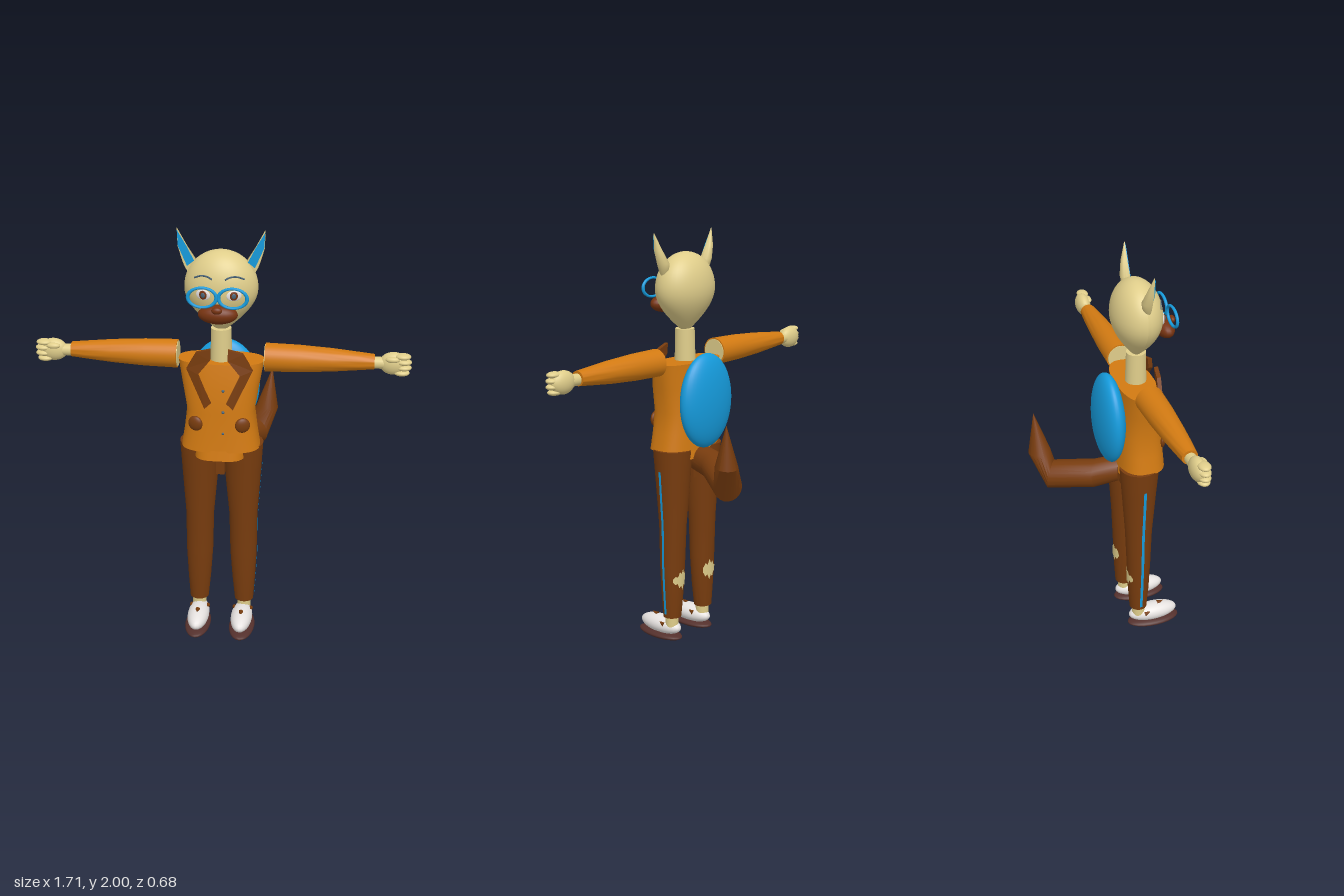
import * as THREE from 'three';
import { toCreasedNormals } from 'three/addons/utils/BufferGeometryUtils.js';

const V = (x, y, z) => new THREE.Vector3(x, y, z);
const mat = (name, color) => {
  const m = new THREE.MeshStandardMaterial({ color });
  m.name = name;
  return m;
};

// Skin a stack of rings (each an array of points), with capped ends
function skin(rings, crease = 0.7) {
  const n = rings[0].length, pos = [], idx = [];
  rings.forEach(r => r.forEach(p => pos.push(p.x, p.y, p.z)));
  for (let i = 0; i < rings.length - 1; i++) {
    for (let j = 0; j < n; j++) {
      const a = i * n + j, b = i * n + (j + 1) % n;
      idx.push(a, a + n, b, b, a + n, b + n);
    }
  }
  [0, rings.length - 1].forEach((k, end) => {
    const c = rings[k].reduce((s, p) => s.add(p), V(0, 0, 0)).divideScalar(n);
    const ci = pos.length / 3;
    pos.push(c.x, c.y, c.z);
    for (let j = 0; j < n; j++) {
      const a = k * n + j, b = k * n + (j + 1) % n;
      if (end) idx.push(ci, b, a); else idx.push(ci, a, b);
    }
  });
  const g = new THREE.BufferGeometry();
  g.setAttribute('position', new THREE.Float32BufferAttribute(pos, 3));
  g.setIndex(idx);
  return toCreasedNormals(g, crease);
}

// Loft from rows [y, cx, cz, rx, rz]; power squares the section, flat trims its front
function loft(rows, { n = 32, power = 1, flat = 1 } = {}) {
  const bend = v => Math.sign(v) * Math.abs(v) ** power;
  return skin(rows.map(([y, cx, cz, rx, rz]) => Array.from({ length: n }, (_, j) => {
    const a = j / n * Math.PI * 2;
    return V(cx + rx * bend(Math.cos(a)), y, cz + rz * Math.min(flat, bend(Math.sin(a))));
  })));
}

const ball = (x, y, z, rx, ry, rz, turn = 0) =>
  new THREE.SphereGeometry(1, 24, 16).scale(rx, ry, rz).rotateY(turn).translate(x, y, z);

// Move every vertex of a geometry by a rule
function warp(g, rule) {
  const p = g.attributes.position;
  for (let i = 0; i < p.count; i++) {
    const v = rule(V(p.getX(i), p.getY(i), p.getZ(i)), i);
    p.setXYZ(i, v.x, v.y, v.z);
  }
  g.computeVertexNormals();
  return g;
}

// Copy mirrored in x, with the corner order put right
function mirror(geo) {
  const g = geo.index ? geo.toNonIndexed() : geo.clone();
  for (const key of ['position', 'normal']) {
    const a = g.attributes[key];
    for (let i = 0; i < a.count; i += 3) {
      const t = [0, 2, 1].map(k => [-a.getX(i + k), a.getY(i + k), a.getZ(i + k)]);
      t.forEach((p, k) => a.setXYZ(i + k, ...p));
    }
  }
  return g;
}

// Leg sections and a lookup between them
const LEG = [
  [0.13, 0.11, 0.127, 0.045, 0.043], [0.25, 0.108, 0.127, 0.055, 0.052],
  [0.4, 0.106, 0.127, 0.064, 0.058], [0.6, 0.104, 0.125, 0.067, 0.066],
  [0.83, 0.101, 0.125, 0.085, 0.083], [0.98, 0.102, 0.125, 0.093, 0.095]];
function legAt(y) {
  const i = Math.max(1, LEG.findIndex(r => r[0] >= y));
  const t = (y - LEG[i - 1][0]) / (LEG[i][0] - LEG[i - 1][0]);
  return LEG[i].map((v, k) => THREE.MathUtils.lerp(LEG[i - 1][k], v, t));
}

// Head shape: an egg, narrower toward the chin
const chin = t => 1 - 0.6 * Math.max(0, t) ** 2;
function headZ(x, y) {
  const t = (y - 1.735) / (y > 1.735 ? 0.17 : 0.205);
  const s = Math.sqrt(1 - t * t) * chin(-t);
  return 0.135 + 0.115 * s * Math.sqrt(Math.max(0, 1 - (x / (0.165 * s)) ** 2));
}

export function createModel() {
  const root = new THREE.Group();
  root.name = 'figure';
  const fur = mat('cream fur', 0xdfcd8a), orange = mat('orange cloth', 0xd27a12),
    brown = mat('brown cloth', 0x783c0e), muzzleBrown = mat('muzzle brown', 0x763310),
    blue = mat('bright blue', 0x159bdc), white = mat('shoe white', 0xe6e2e0),
    dark = mat('sole brown', 0x54302c), slate = mat('slate', 0x4a6478);
  const add = (name, geo, m) => {
    const mesh = new THREE.Mesh(geo, m);
    mesh.name = name;
    root.add(mesh);
  };
  const pair = (name, geo, m) => {
    add(name + 'Left', geo, m);
    add(name + 'Right', mirror(geo), m);
  };

  // Head and neck
  add('head', warp(new THREE.SphereGeometry(1, 40, 30), v => {
    const s = chin(-v.y);
    return V(v.x * s * 0.165, 1.735 + v.y * (v.y > 0 ? 0.17 : 0.205), 0.135 + v.z * s * 0.115);
  }), fur);
  add('neck', new THREE.CylinderGeometry(0.046, 0.05, 0.17, 24).translate(0, 1.46, 0.138), fur);

  // Ears with a flat coloured front
  pair('ear', loft([
    [1.785, 0.132, 0.146, 0.006, 0.006], [1.83, 0.138, 0.14, 0.026, 0.026],
    [1.86, 0.144, 0.139, 0.031, 0.03], [1.92, 0.171, 0.142, 0.021, 0.02],
    [2.0, 0.193, 0.147, 0.001, 0.002]], { n: 20, flat: 0.3 }), fur);
  const inner = new THREE.Shape([[0.193, 1.99], [0.189, 1.92], [0.15, 1.83], [0.119, 1.855], [0.152, 1.92]]
    .map(p => new THREE.Vector2(...p)));
  pair('innerEar', new THREE.ExtrudeGeometry(inner, { depth: 0.005, bevelEnabled: false }).translate(0, 0, 0.147), blue);

  // Eyes, brows and glasses
  const eyeZ = headZ(0.068, 1.73);
  pair('eyeWhite', ball(0.068, 1.73, eyeZ, 0.034, 0.024, 0.006, 0.3), white);
  pair('iris', ball(0.068, 1.73, eyeZ + 0.005, 0.018, 0.02, 0.004, 0.3), muzzleBrown);
  pair('pupil', ball(0.068, 1.73, eyeZ + 0.008, 0.01, 0.012, 0.004, 0.3), slate);
  const brow = [[0.028, 1.8], [0.05, 1.81], [0.08, 1.81], [0.11, 1.797]].map(([x, y]) => V(x, y, headZ(x, y)));
  pair('brow', new THREE.TubeGeometry(new THREE.CatmullRomCurve3(brow), 16, 0.004, 6), slate);
  pair('glassesRim', new THREE.TorusGeometry(0.06, 0.008, 10, 40).scale(1.04, 0.74, 0.9).translate(0.067, 1.732, 0.284), blue);

  // Muzzle and nose
  add('muzzle', ball(0, 1.652, 0.268, 0.088, 0.043, 0.045), muzzleBrown);
  add('nose', ball(0, 1.682, 0.308, 0.024, 0.016, 0.014), muzzleBrown);

  // Jacket body and lower hem
  add('jacket', loft([
    [0.975, 0, 0.145, 0.182, 0.113], [1.06, 0, 0.143, 0.168, 0.108], [1.16, 0, 0.142, 0.156, 0.104],
    [1.28, 0, 0.141, 0.175, 0.1], [1.395, 0, 0.13, 0.195, 0.09]], { n: 48, power: 0.75 }), orange);
  add('jacketHem', loft([[0.935, 0, 0.147, 0.118, 0.117], [1.0, 0, 0.145, 0.118, 0.11]],
    { n: 48, power: 0.6 }), orange);

  // Lapels laid over the chest
  const lapel = new THREE.Shape([[0.04, 1.47], [0.105, 1.45], [0.15, 1.37], [0.065, 1.19], [0.035, 1.22],
    [0.095, 1.35], [0.04, 1.42]].map(p => new THREE.Vector2(...p)));
  pair('lapel', warp(new THREE.ExtrudeGeometry(lapel, { depth: 0.02, bevelEnabled: false }), v =>
    V(v.x, v.y, v.z + 0.235 - 0.1 * Math.max(0, v.y - 1.25) - 1.2 * v.x * v.x)), brown);

  // Pockets and buttons
  pair('pocket', ball(0.108, 1.11, 0.235, 0.035, 0.036, 0.016, 0.3), brown);
  [1.28, 1.175, 1.07].forEach((y, i) => add('button' + (i + 1), ball(0.02, y, 0.247, 0.007, 0.007, 0.006), slate));

  // Sleeves, shoulder ends and hands
  pair('sleeve', loft([[0.2, 0, 0, 0.065, 0.066], [0.35, 0, 0, 0.062, 0.062], [0.5, 0, 0, 0.053, 0.053],
    [0.62, 0, 0, 0.041, 0.044], [0.69, 0, 0, 0.034, 0.037]]).rotateZ(-Math.PI / 2).translate(0, 1.408, 0.131), orange);
  pair('shoulder', new THREE.CylinderGeometry(0.059, 0.059, 0.008, 32).rotateZ(Math.PI / 2).translate(0.201, 1.408, 0.131), fur);
  pair('wrist', new THREE.CylinderGeometry(0.027, 0.027, 0.06, 20).rotateZ(Math.PI / 2).translate(0.705, 1.404, 0.132), fur);
  pair('palm', ball(0.775, 1.404, 0.132, 0.065, 0.053, 0.036), fur);
  [1.442, 1.416, 1.39, 1.365].forEach((y, i) =>
    pair('finger' + (i + 1), ball([0.815, 0.82, 0.82, 0.812][i], y, 0.143, 0.036, 0.0145, 0.028), fur));
  pair('thumb', ball(0.77, 1.43, 0.158, 0.032, 0.014, 0.016), fur);

  // Trousers with side stripes and worn patches behind the calves
  pair('trouserLeg', loft(LEG), brown);
  add('trouserSeat', new THREE.BoxGeometry(0.04, 0.14, 0.12).translate(0, 0.9, 0.125), brown);
  pair('sideStripe', warp(new THREE.PlaneGeometry(0.014, 0.73, 1, 24).rotateY(Math.PI / 2).translate(0, 0.515, 0.126), v => {
    const [, cx, , rx] = legAt(v.y);
    return V(cx + rx + 0.003, v.y, v.z);
  }), blue);
  const tear = [0.008, 0.022, 0.016, 0.042, 0.03, 0.055, 0.026, 0.036, 0.01];
  pair('wornPatch', warp(new THREE.PlaneGeometry(0.084, 0.1, 8, 1).rotateY(Math.PI), (v, i) => {
    const y = 0.33 + Math.sign(v.y) * tear[i % 9];
    const [, cx, cz, rx, rz] = legAt(y);
    return V(cx + v.x, y, cz - rz * Math.sqrt(1 - (v.x / rx) ** 2) - 0.004);
  }), fur);

  // Ankles and shoes
  pair('ankle', new THREE.CylinderGeometry(0.033, 0.033, 0.08, 20).translate(0.11, 0.11, 0.13), fur);
  pair('shoe', ball(0.106, 0.068, 0.208, 0.052, 0.045, 0.127), white);
  pair('sole', ball(0.108, 0.021, 0.21, 0.062, 0.021, 0.135), dark);
  [[0.106, 0.113, 0.25], [0.145, 0.09, 0.17], [0.067, 0.09, 0.17]].forEach(([x, y, z], i) =>
    pair('shoeTrim' + (i + 1), new THREE.ConeGeometry(0.012, 0.035, 8).rotateX(Math.PI / 2.4).translate(x, y, z), brown));

  // Backpack
  add('backpack', new THREE.SphereGeometry(1, 40, 28).scale(0.165, 0.226, 0.066).translate(0, 1.215, 0.004), blue);

  // Tail bending upward to a point: [centre, pitch, radius]
  const side = V(0.87, 0, 0.5);
  add('tail', skin([
    [V(-0.01, 0.93, 0.06), 0, 0.065], [V(0.01, 0.91, -0.06), -0.1, 0.068],
    [V(0.125, 0.87, -0.245), 0.15, 0.07], [V(0.178, 0.98, -0.285), 1.4, 0.054],
    [V(0.2, 1.178, -0.302), 1.45, 0.001]].map(([c, pitch, r]) => {
    const d = V(0.5 * Math.cos(pitch), Math.sin(pitch), -0.87 * Math.cos(pitch));
    const up = side.clone().cross(d);
    return Array.from({ length: 20 }, (_, j) => {
      const a = j / 20 * Math.PI * 2;
      return c.clone().addScaledVector(side, r * Math.cos(a)).addScaledVector(up, r * Math.sin(a));
    });
  }), 0.5), brown);

  return root;
}
